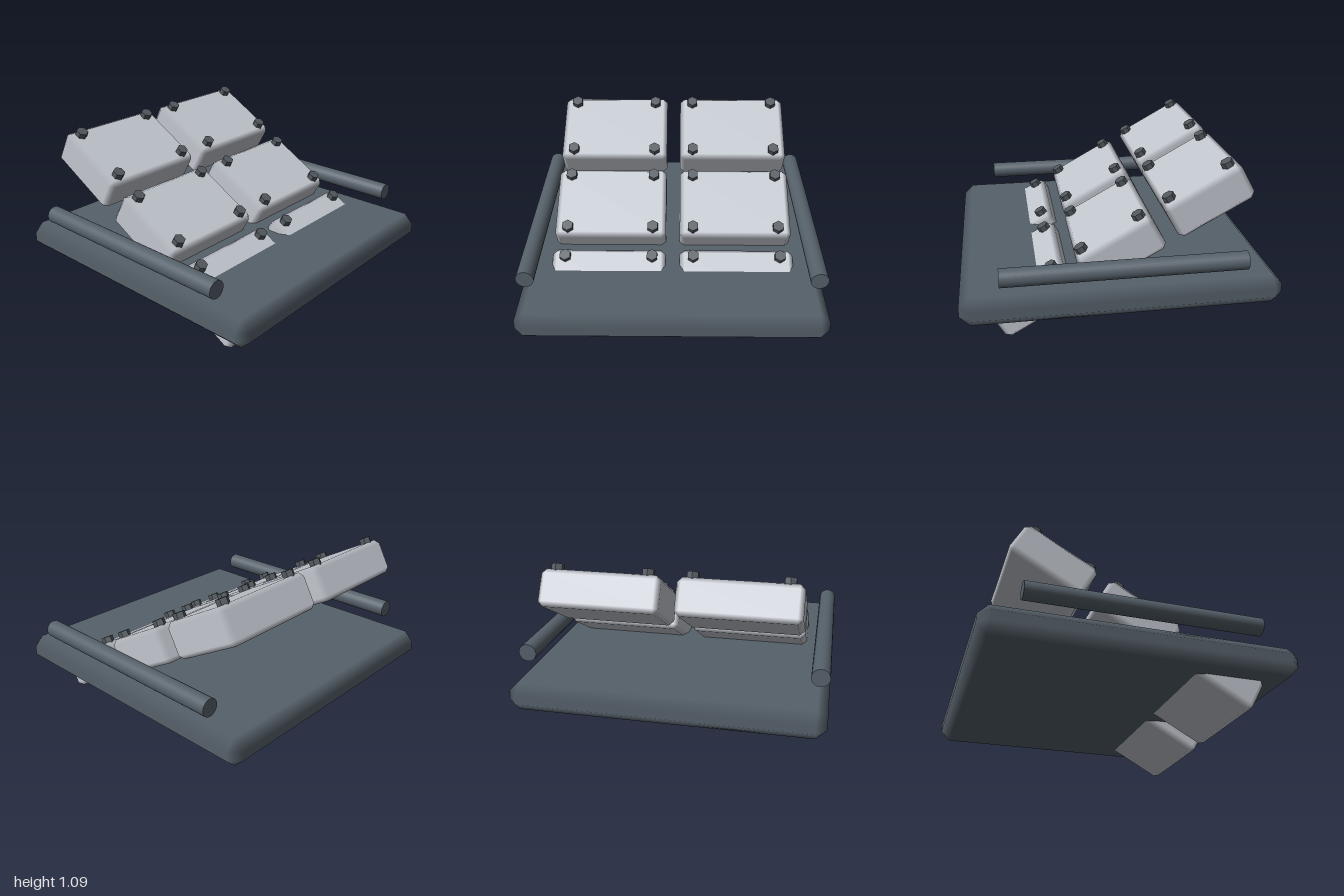
import * as THREE from 'three';

const plateMat = new THREE.MeshStandardMaterial({ name: 'slate grey', color: 0x56616a });
const blockMat = new THREE.MeshStandardMaterial({ name: 'light grey', color: 0xc2c6ce });
const boltMat = new THREE.MeshStandardMaterial({ name: 'dark steel', color: 0x52595f });

// Box with one chamfer of width b on every edge, shaded softly across the chamfers
function chamferBox(w, h, d, b) {
  const half = [w / 2, h / 2, d / 2];
  const pos = [], nor = [], index = [];
  // vertex id = axis * 8 + sign bits
  for (let axis = 0; axis < 3; axis++) {
    for (let bits = 0; bits < 8; bits++) {
      for (let k = 0; k < 3; k++) {
        const s = bits & (1 << k) ? 1 : -1;
        pos.push(s * (half[k] - (k === axis ? 0 : b)));
        nor.push(k === axis ? s : 0);
      }
    }
  }
  const at = (i) => new THREE.Vector3().fromArray(pos, i * 3);
  const tri = (i, j, k) => {
    const p = at(i), q = at(j), r = at(k);
    const n = q.clone().sub(p).cross(r.clone().sub(p));
    if (n.dot(p.add(q).add(r)) > 0) index.push(i, j, k);
    else index.push(i, k, j);
  };
  const quad = (i, j, k, l) => { tri(i, j, k); tri(i, k, l); };
  for (let a = 0; a < 3; a++) {
    const e = (a + 1) % 3, f = (a + 2) % 3;
    const A = 1 << a, E = 1 << e, F = 1 << f;
    // flat faces
    for (const s of [0, A]) {
      const o = a * 8 + s;
      quad(o, o + E, o + E + F, o + F);
    }
    // edge chamfers running along axis f
    for (const s of [0, A]) {
      for (const t of [0, E]) {
        quad(a * 8 + s + t, a * 8 + s + t + F, e * 8 + s + t + F, e * 8 + s + t);
      }
    }
  }
  // corner triangles
  for (let bits = 0; bits < 8; bits++) tri(bits, 8 + bits, 16 + bits);
  const geo = new THREE.BufferGeometry();
  geo.setAttribute('position', new THREE.Float32BufferAttribute(pos, 3));
  geo.setAttribute('normal', new THREE.Float32BufferAttribute(nor, 3));
  geo.setIndex(index);
  return geo;
}

function addMesh(parent, name, geo, mat, x, y, z) {
  const mesh = new THREE.Mesh(geo, mat);
  mesh.name = name;
  mesh.position.set(x, y, z);
  parent.add(mesh);
  return mesh;
}

export function createModel() {
  const model = new THREE.Group();
  model.name = 'boltedBlocksOnPlate';

  // Base plate
  addMesh(model, 'basePlate', chamferBox(1.98, 0.19, 2, 0.065), plateMat, 0, 0.275, 0);

  // Side rails
  const railGeo = new THREE.CylinderGeometry(0.058, 0.058, 1.51, 32).rotateX(Math.PI / 2);
  for (const s of [-1, 1]) {
    addMesh(model, s > 0 ? 'leftRail' : 'rightRail', railGeo, plateMat, s * 0.932, 0.49, 0);
  }

  // Two columns of three blocks on one slope, each with four hexagonal bolts
  const blockGeo = chamferBox(0.765, 0.24, 0.535, 0.032);
  const boltGeo = new THREE.CylinderGeometry(0.04, 0.04, 0.06, 6).toNonIndexed();
  boltGeo.computeVertexNormals();
  for (const side of [-1, 1]) {
    for (let row = -1; row <= 1; row++) {
      const unit = new THREE.Group();
      unit.name = 'blockUnit';
      unit.position.set(side * 0.43, 0.522 - row * 0.306, row * 0.545);
      unit.rotation.x = THREE.MathUtils.degToRad(29);
      addMesh(unit, 'block', blockGeo, blockMat, 0, 0, 0);
      for (const bx of [-1, 1]) {
        for (const bz of [-1, 1]) {
          addMesh(unit, 'bolt', boltGeo, boltMat, bx * 0.292, 0.128, bz * 0.204);
        }
      }
      model.add(unit);
    }
  }
  return model;
}
